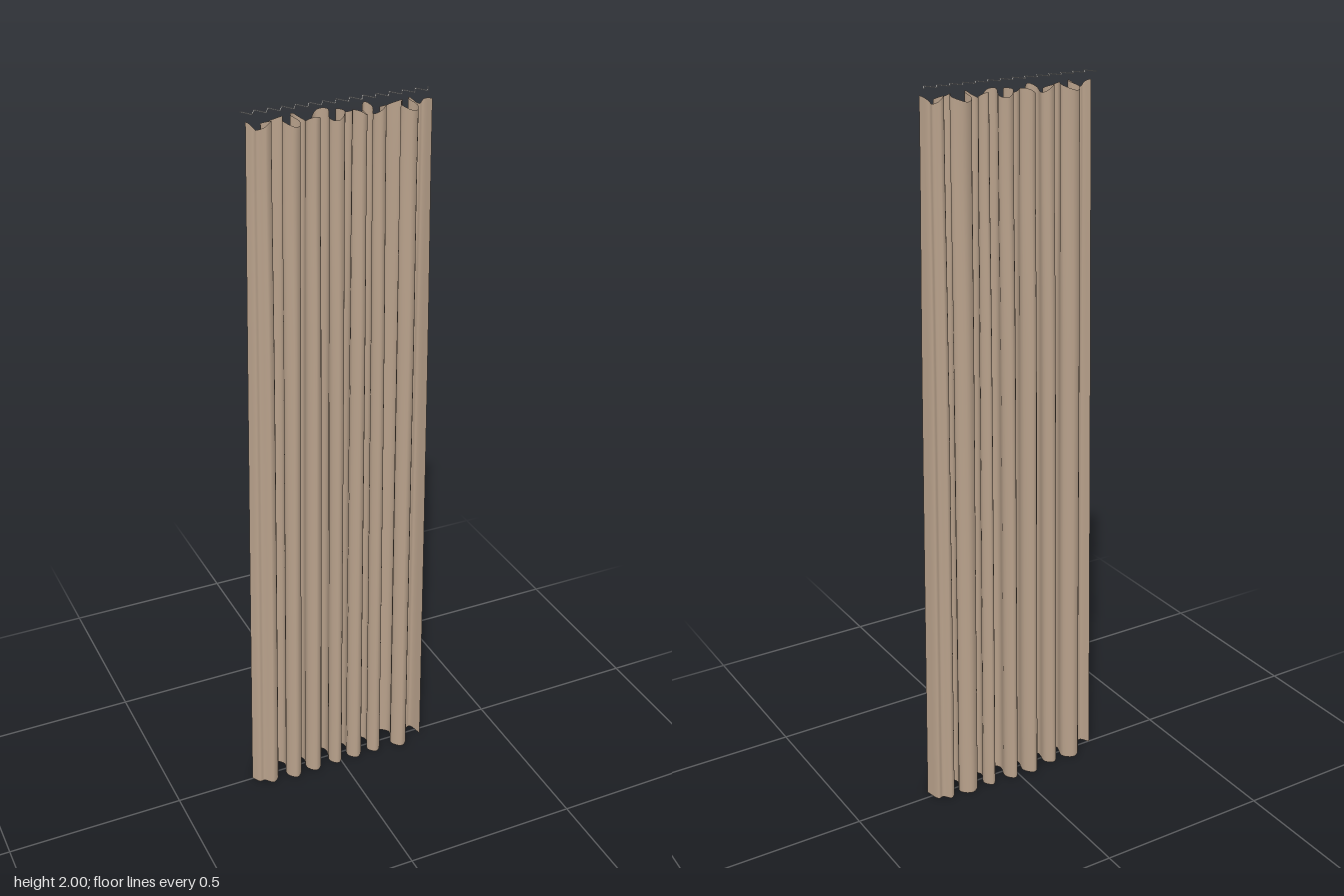
import * as THREE from 'three';

// Hem fold crests: x, z, half width of the rounded fold
const folds = [
  [-0.22, 0.042, 0.026], [-0.188, -0.045, 0.033], [-0.148, 0.05, 0.027],
  [-0.12, -0.038, 0.024], [-0.083, 0.046, 0.027], [-0.046, -0.052, 0.028],
  [-0.012, 0.043, 0.023], [0.018, -0.048, 0.024], [0.05, 0.043, 0.026],
  [0.09, -0.043, 0.022], [0.114, 0.042, 0.024], [0.16, -0.046, 0.034],
  [0.196, 0.051, 0.029], [0.225, -0.038, 0.022],
];

// Rounded, overlapping fold line seen from above
function foldLine() {
  const pts = [new THREE.Vector3(-0.271, 0, -0.002), new THREE.Vector3(-0.255, 0, 0.022)];
  for (const [x, z, w] of folds) {
    pts.push(new THREE.Vector3(x - w * 0.85, 0, z * 0.5));
    pts.push(new THREE.Vector3(x, 0, z));
    pts.push(new THREE.Vector3(x + w * 0.85, 0, z * 0.5));
  }
  pts.push(new THREE.Vector3(0.258, 0, -0.022), new THREE.Vector3(0.271, 0, 0.022));
  return new THREE.CatmullRomCurve3(pts, false, 'centripetal');
}

function clothGeometry() {
  const cols = 184, rows = 20;
  const line = foldLine().getPoints(cols);
  const geo = new THREE.PlaneGeometry(1, 1, cols, rows);
  const pos = geo.attributes.position;
  for (let r = 0; r <= rows; r++) {
    // rows lie closer together near the heading
    const t = 1 - Math.pow(r / rows, 1.6);
    // pinch below the heading, flare towards the hem
    const pinch = Math.exp(-Math.pow((t - 0.92) / 0.16, 2));
    const depth = 1 - 0.16 * t - 0.16 * pinch;
    for (let c = 0; c <= cols; c++) {
      const p = line[c];
      const x = p.x * (1 - 0.095 * t) + 0.009 * t + 0.004 * Math.sin(p.x * 38) * t * t;
      const sag = 0.009 * (1 - Math.cos(c * 0.41)) * Math.pow(t, 20);
      pos.setXYZ(r * (cols + 1) + c, x, 1.978 * t - sag, p.z * depth);
    }
  }
  geo.computeVertexNormals();
  return geo;
}

export function createModel() {
  const model = new THREE.Group();

  // Hanging cloth
  const cloth = new THREE.Mesh(clothGeometry(),
    new THREE.MeshStandardMaterial({ color: 0xb8a18b, side: THREE.DoubleSide }));
  cloth.name = 'curtainCloth';
  model.add(cloth);

  // Flat zigzag heading tape just above the cloth
  const tape = new THREE.Group();
  tape.name = 'headingTape';
  const tapeMaterial = new THREE.MeshStandardMaterial({ color: 0xcccccc });
  const count = 28, x0 = -0.24, step = 0.495 / count, swing = 0.016;
  const strip = new THREE.BoxGeometry(Math.hypot(step, swing * 2), 0.002, 0.003);
  for (let i = 0; i < count; i++) {
    const dir = i % 2 ? 1 : -1;
    const piece = new THREE.Mesh(strip, tapeMaterial);
    piece.name = 'tapeStrip';
    piece.position.set(x0 + (i + 0.5) * step, 1.999, 0);
    piece.rotation.y = dir * Math.atan2(swing * 2, step);
    tape.add(piece);
  }
  model.add(tape);
  return model;
}
